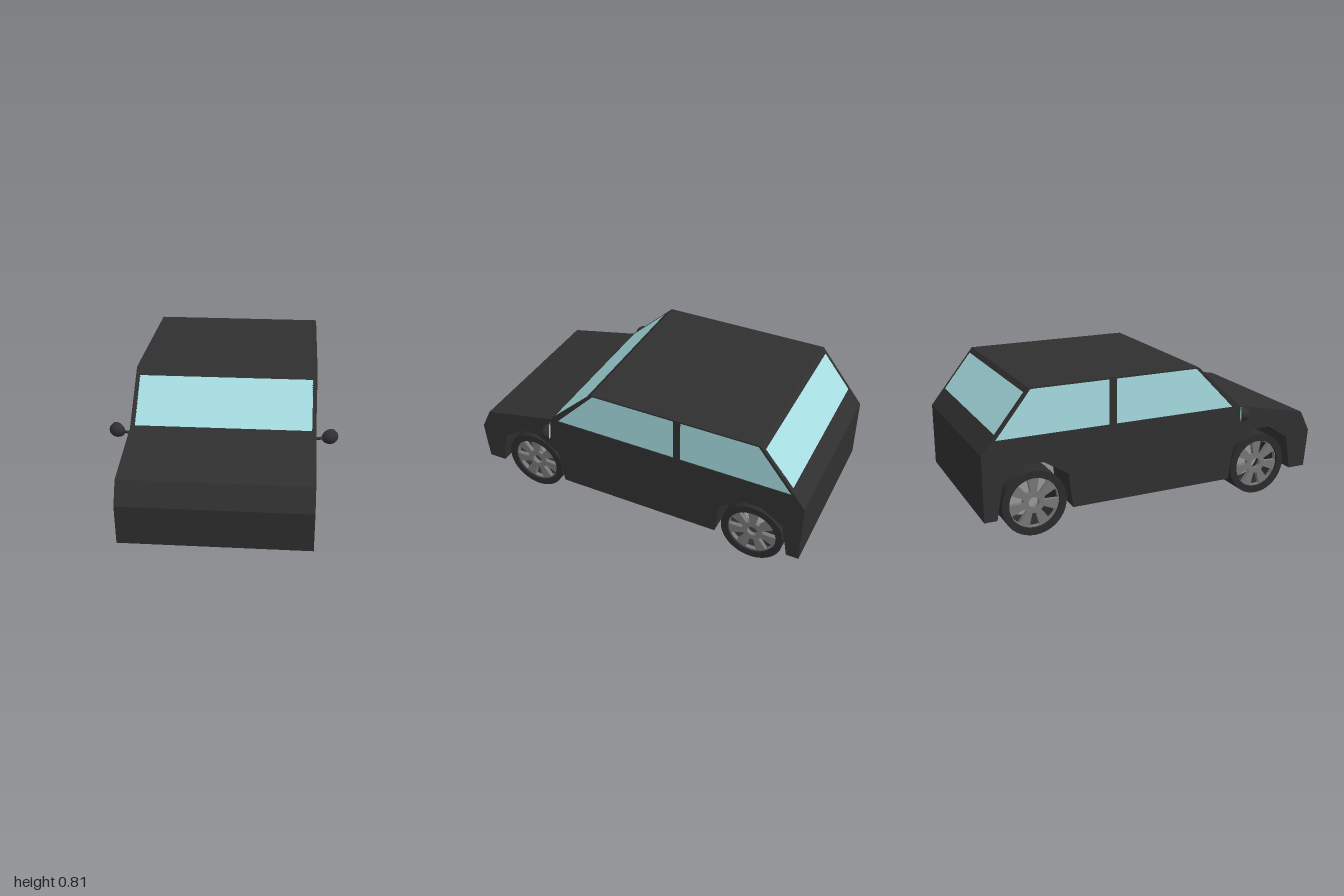
import * as THREE from 'three';

const mat = (color, side = THREE.FrontSide) => new THREE.MeshStandardMaterial({ color, side, flatShading: false });
const paint = mat(0x303030);
const rubber = mat(0x2c2c2c, THREE.DoubleSide);
const alloy = mat(0x777777);
const glass = mat(0xa6dde2, THREE.DoubleSide);

// Points are [z, y] in the side plane
const lerp = (a, b, t) => [a[0] + (b[0] - a[0]) * t, a[1] + (b[1] - a[1]) * t];
const toShape = pts => new THREE.Shape(pts.map(p => new THREE.Vector2(p[0], p[1])));

function add(parent, name, geometry, material) {
  const mesh = new THREE.Mesh(geometry, material);
  mesh.name = name;
  parent.add(mesh);
  return mesh;
}

// Flat sheet running across the car from a to b, its thickness to the left of a->b
function panel(parent, name, a, b, x0, x1, t, material) {
  const dz = b[0] - a[0], dy = b[1] - a[1], len = Math.hypot(dz, dy);
  const m = add(parent, name, new THREE.BoxGeometry(x1 - x0, t, len), material);
  m.position.set((x0 + x1) / 2, (a[1] + b[1]) / 2 + (dz / len) * t / 2, (a[0] + b[0]) / 2 - (dy / len) * t / 2);
  m.rotation.x = -Math.atan2(dy, dz);
  return m;
}

// Side-plane shape extruded inward from x
function sideSlab(shape, x, depth) {
  return new THREE.ExtrudeGeometry(shape, { depth, bevelEnabled: false, curveSegments: 12 })
    .rotateY(-Math.PI / 2).translate(x, 0, 0);
}

const nose = [[0.98, 0.13], [1, 0.35], [0.94, 0.47], [0.51, 0.56]];
const roof = [[0.235, 0.815], [-0.74, 0.815]];
const tail = [[-1, 0.49], [-1, 0.13]];
const frontArch = [[0.877, 0.13], [0.845, 0.325], [0.713, 0.41], [0.615, 0.41], [0.48, 0.325], [0.45, 0.13]];
const rearArch = [[-0.51, 0.13], [-0.535, 0.325], [-0.67, 0.41], [-0.77, 0.41], [-0.895, 0.325], [-0.93, 0.13]];
const windows = [
  [[0.465, 0.56], [0.225, 0.807], [-0.255, 0.807], [-0.255, 0.56]],
  [[-0.295, 0.56], [-0.295, 0.807], [-0.73, 0.807], [-0.925, 0.56]],
];

function makeWheel(z) {
  const wheel = new THREE.Group();
  wheel.name = 'wheel';
  // Tyre: an open tube so the gaps between spokes stay clear
  const w = 0.0975;
  const profile = [[0.14, -w], [0.18, -w], [0.18, w], [0.14, w], [0.14, -w]].map(p => new THREE.Vector2(...p));
  const edges = [0, 1, 2, 3].map(i => [profile[i], profile[i + 1]]);
  for (const e of edges) add(wheel, 'tyre', new THREE.LatheGeometry(e, 40).rotateZ(Math.PI / 2), rubber);
  // Rim: disc with a hub hole and seven gaps
  const disc = new THREE.Shape().absarc(0, 0, 0.142, 0, Math.PI * 2);
  disc.holes.push(new THREE.Path().absarc(0, 0, 0.03, 0, Math.PI * 2, true));
  const step = Math.PI * 2 / 7;
  for (let i = 0; i < 7; i++) {
    const a = Math.PI / 2 + i * step;
    const gap = new THREE.Path();
    gap.absarc(0, 0, 0.135, a + 0.23, a + step - 0.23, false);
    gap.absarc(0, 0, 0.06, a + step - 0.28, a + 0.28, true);
    gap.closePath();
    disc.holes.push(gap);
  }
  add(wheel, 'rim', sideSlab(disc, 0.085, 0.025), alloy);
  wheel.position.set(0.3775, 0.18, z);
  return wheel;
}

function makeMirror() {
  const mirror = new THREE.Group();
  mirror.name = 'wingMirror';
  const head = new THREE.Group();
  head.name = 'mirrorHead';
  add(head, 'mirrorShell',
    new THREE.SphereGeometry(1, 24, 10, 0, Math.PI * 2, 0, Math.PI / 2).rotateX(Math.PI / 2).scale(0.047, 0.041, 0.048), paint);
  add(head, 'mirrorGlass', new THREE.CircleGeometry(1, 24).rotateY(Math.PI).scale(0.047, 0.041, 1), glass);
  head.position.set(0.571, 0.537, 0.474);
  head.rotation.y = 0.487;
  mirror.add(head);
  const stalk = add(mirror, 'mirrorStalk', new THREE.CylinderGeometry(0.008, 0.008, 0.07, 10).rotateZ(Math.PI / 2), paint);
  stalk.position.set(0.525, 0.537, 0.505);
  stalk.rotation.y = 0.3;
  return mirror;
}

// Everything on the car's left half; mirrored for the right
function makeSide(name) {
  const side = new THREE.Group();
  side.name = name;
  const outline = toShape([...nose, ...roof, ...tail, ...[...frontArch, ...rearArch].reverse()]);
  for (const w of windows) {
    outline.holes.push(new THREE.Path(w.map(p => new THREE.Vector2(...p))));
    add(side, 'sideWindow', sideSlab(toShape(w), 0.495, 0.008), glass);
  }
  add(side, 'sidePanel', sideSlab(outline, 0.5, 0.025), paint);
  // Wheel wells, open towards the middle
  for (const arch of [frontArch, rearArch]) {
    for (let i = arch.length - 1; i > 0; i--) panel(side, 'wheelWell', arch[i], arch[i - 1], 0.26, 0.49, 0.008, paint);
  }
  side.add(makeWheel(0.663), makeWheel(-0.717), makeMirror());
  return side;
}

export function createModel() {
  const car = new THREE.Group();
  car.name = 'hatchback';

  // Cross-car body panels
  const across = (name, a, b, material = paint, t = 0.012) => panel(car, name, a, b, -0.478, 0.478, t, material);
  across('frontBumper', nose[0], nose[1]);
  across('grillePanel', nose[1], nose[2]);
  across('hood', nose[2], nose[3]);
  across('roof', roof[0], roof[1]);
  across('tailPanel', tail[0], tail[1]);

  // Windscreen and rear window with their frames
  for (const [name, a, b, t0, t1] of [
    ['windscreen', nose[3], roof[0], 0.05, 0.86],
    ['rearWindow', roof[1], tail[0], 0.08, 0.7],
  ]) {
    const p = lerp(a, b, t0), q = lerp(a, b, t1);
    across(name + 'Frame', a, p);
    across(name, p, q, glass, 0.008);
    across(name + 'Frame', q, b);
  }

  const left = makeSide('leftSide');
  const right = makeSide('rightSide');
  right.scale.x = -1;
  car.add(left, right);
  return car;
}
